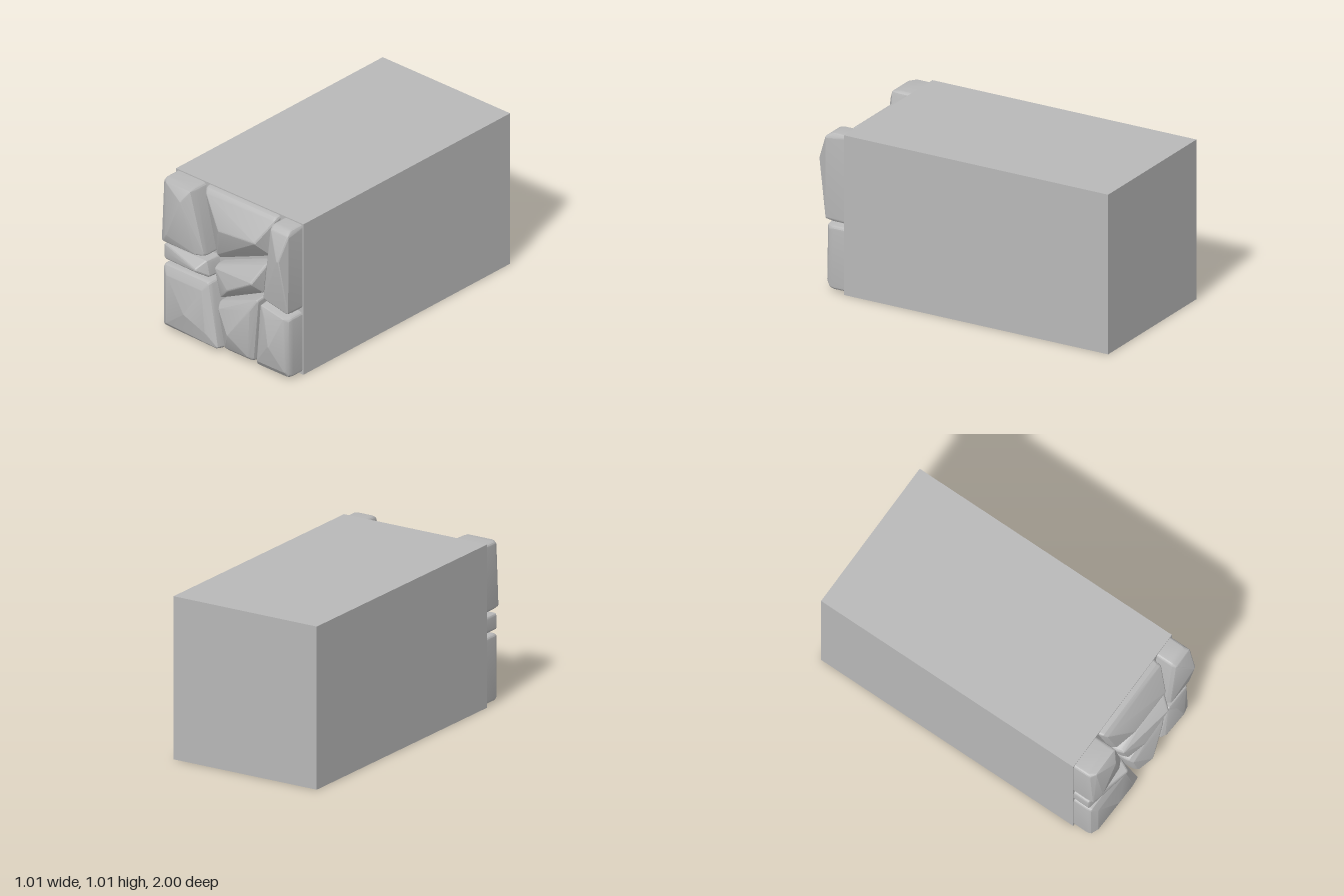
import * as THREE from 'three';
import { ConvexGeometry } from 'three/addons/geometries/ConvexGeometry.js';
import { toCreasedNormals } from 'three/addons/utils/BufferGeometryUtils.js';

const FACE_Z = 0.81; // front plane of the block

// Outline with every corner replaced by a short arc
function roundedOutline(pts, r) {
  return pts.flatMap((p, i) => {
    const toward = (q) => p.clone().add(q.clone().sub(p).setLength(r));
    const a = toward(pts[(i + pts.length - 1) % pts.length]);
    const b = toward(pts[(i + 1) % pts.length]);
    return new THREE.QuadraticBezierCurve(a, p, b).getPoints(4);
  });
}

// Points of a small dome whose top is at p, used to soften a crown point
function dome(p, radius) {
  const points = [p];
  for (const tilt of [0.4, 0.8]) {
    for (let i = 0; i < 8; i++) {
      const offset = new THREE.Vector3().setFromSphericalCoords(radius, tilt, (i * Math.PI) / 4);
      points.push(new THREE.Vector3(p.x + offset.x, p.y + offset.z, p.z - radius + offset.y));
    }
  }
  return points;
}

// Rough-cut stone: straight walls, softened rim, shoulders drawn in from the corners, two-point ridge
function stoneGeometry(outline, ridge, shoulder, inset) {
  const corners = outline.map(([x, y]) => new THREE.Vector2(x, y));
  const peaks = ridge.map(([x, y, z]) => new THREE.Vector3(x, y, z));
  const loop = roundedOutline(corners, 0.025);
  const centre = loop.reduce((s, p) => s.add(p), new THREE.Vector2()).divideScalar(loop.length);
  const rim = shoulder - 0.04;
  const points = [];

  // Walls and rim
  for (const [z, shrink] of [[FACE_Z - 0.02, 0], [rim - 0.015, 0], [rim + 0.002, 0.003], [rim + 0.015, 0.009]]) {
    for (const p of loop) {
      const q = p.clone().add(centre.clone().sub(p).setLength(shrink));
      points.push(new THREE.Vector3(q.x, q.y, z));
    }
  }

  // Shoulders, each pulled towards the nearer end of the ridge
  for (const c of corners) {
    const [near] = peaks
      .map((p) => new THREE.Vector2(p.x, p.y))
      .sort((a, b) => a.distanceTo(c) - b.distanceTo(c));
    const s = c.clone().lerp(near, inset);
    points.push(...dome(new THREE.Vector3(s.x, s.y, shoulder), 0.018));
  }

  // Ridge
  for (const p of peaks) points.push(...dome(p, 0.018));
  return toCreasedNormals(new ConvexGeometry(points), 0.3);
}

export function createModel() {
  const model = new THREE.Group();
  model.name = 'stoneFacedBlock';
  const stone = new THREE.MeshStandardMaterial({ color: 0xb8b8b8 });
  stone.name = 'grey stone';

  const addPart = (name, geometry) => {
    const mesh = new THREE.Mesh(geometry, stone);
    mesh.name = name;
    model.add(mesh);
    return mesh;
  };
  const addStone = (name, outline, ridge, shoulder, inset) =>
    addPart(name, stoneGeometry(outline, ridge, shoulder, inset));

  // Plain block behind the stones
  addPart('block', new THREE.BoxGeometry(1.01, 1.012, 1 + FACE_Z)).position.set(0, 0.506, (FACE_Z - 1) / 2);

  // Upper stones
  addStone('upperRightStone', [[-0.5, 1.005], [-0.5, 0.58], [-0.172, 0.58], [-0.268, 1.005]],
    [[-0.43, 0.66, 0.975], [-0.32, 0.92, 0.985]], 0.95, 0.25);
  addStone('upperMiddleStone', [[-0.25, 1.005], [-0.143, 0.555], [0.293, 0.73], [0.328, 1.005]],
    [[-0.05, 0.81, 0.94], [0.235, 0.84, 0.95]], 0.865, 0.2);
  addStone('upperLeftStone', [[0.35, 1.005], [0.285, 0.483], [0.497, 0.44], [0.497, 1.005]],
    [[0.465, 0.82, 1], [0.455, 0.58, 0.955]], 0.945, 0.2);

  // Middle stones
  addStone('smallRightStone', [[-0.5, 0.56], [-0.5, 0.45], [-0.138, 0.45], [-0.165, 0.56]],
    [[-0.46, 0.505, 0.93], [-0.2, 0.51, 0.985]], 0.92, 0.3);
  addStone('centreStone', [[-0.137, 0.535], [-0.085, 0.337], [0.265, 0.495], [0.29, 0.705]],
    [[0.03, 0.45, 0.955], [0.23, 0.575, 0.975]], 0.905, 0.2);

  // Lower stones
  addStone('lowerRightStone', [[-0.5, 0.43], [-0.5, 0.013], [-0.037, 0.013], [-0.135, 0.43]],
    [[-0.29, 0.18, 0.985], [-0.13, 0.11, 0.975]], 0.955, 0.25);
  addStone('lowerMiddleStone', [[-0.085, 0.318], [-0.018, 0.013], [0.205, 0.013], [0.258, 0.467]],
    [[0.06, 0.17, 0.985], [0.2, 0.37, 0.955]], 0.935, 0.25);
  addStone('lowerLeftStone', [[0.28, 0.455], [0.227, 0.013], [0.497, 0.013], [0.497, 0.415]],
    [[0.38, 0.21, 0.985], [0.34, 0.36, 0.965]], 0.945, 0.25);
  return model;
}
